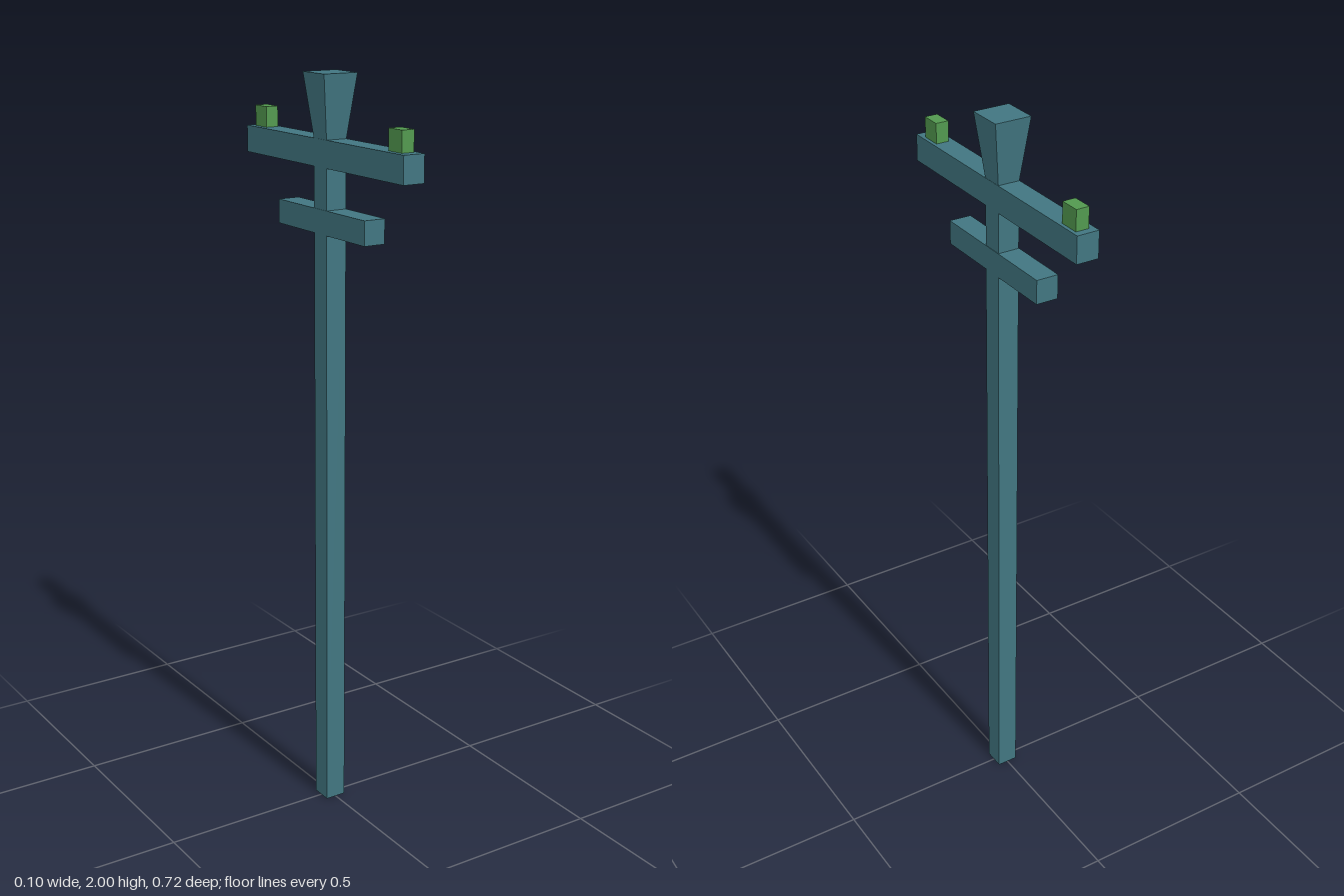
import * as THREE from 'three';

export function createModel() {
  const model = new THREE.Group();
  const teal = new THREE.MeshStandardMaterial({ color: 0x417681, flatShading: true, side: THREE.DoubleSide });
  teal.name = 'teal';
  const green = new THREE.MeshStandardMaterial({ color: 0x52994f, flatShading: true });
  green.name = 'green';

  const add = (name, geometry, material, x, y, z) => {
    const mesh = new THREE.Mesh(geometry, material);
    mesh.name = name;
    mesh.position.set(x, y, z);
    model.add(mesh);
  };

  // Square column from half-width a at y0 to half-width b at y1
  const column = (name, a, b, y0, y1, open) => {
    const g = new THREE.CylinderGeometry(b * Math.SQRT2, a * Math.SQRT2, y1 - y0, 4, 1, open);
    g.rotateY(Math.PI / 4);
    add(name, g, teal, 0, (y0 + y1) / 2, 0);
  };

  // Pole is hollow at the foot; the head flares outward
  column('pole', 0.029, 0.029, 0, 1.8, true);
  column('flaredHead', 0.029, 0.049, 1.835, 2, false);

  // Cross arms
  add('upperArm', new THREE.BoxGeometry(0.06, 0.07, 0.72), teal, 0, 1.803, 0);
  add('lowerArm', new THREE.BoxGeometry(0.06, 0.063, 0.4), teal, 0, 1.631, 0);

  // Insulators on the upper arm
  for (const [name, z] of [['frontInsulator', 0.303], ['backInsulator', -0.313]]) {
    add(name, new THREE.BoxGeometry(0.035, 0.055, 0.055), green, 0.003, 1.864, z);
  }
  return model;
}
